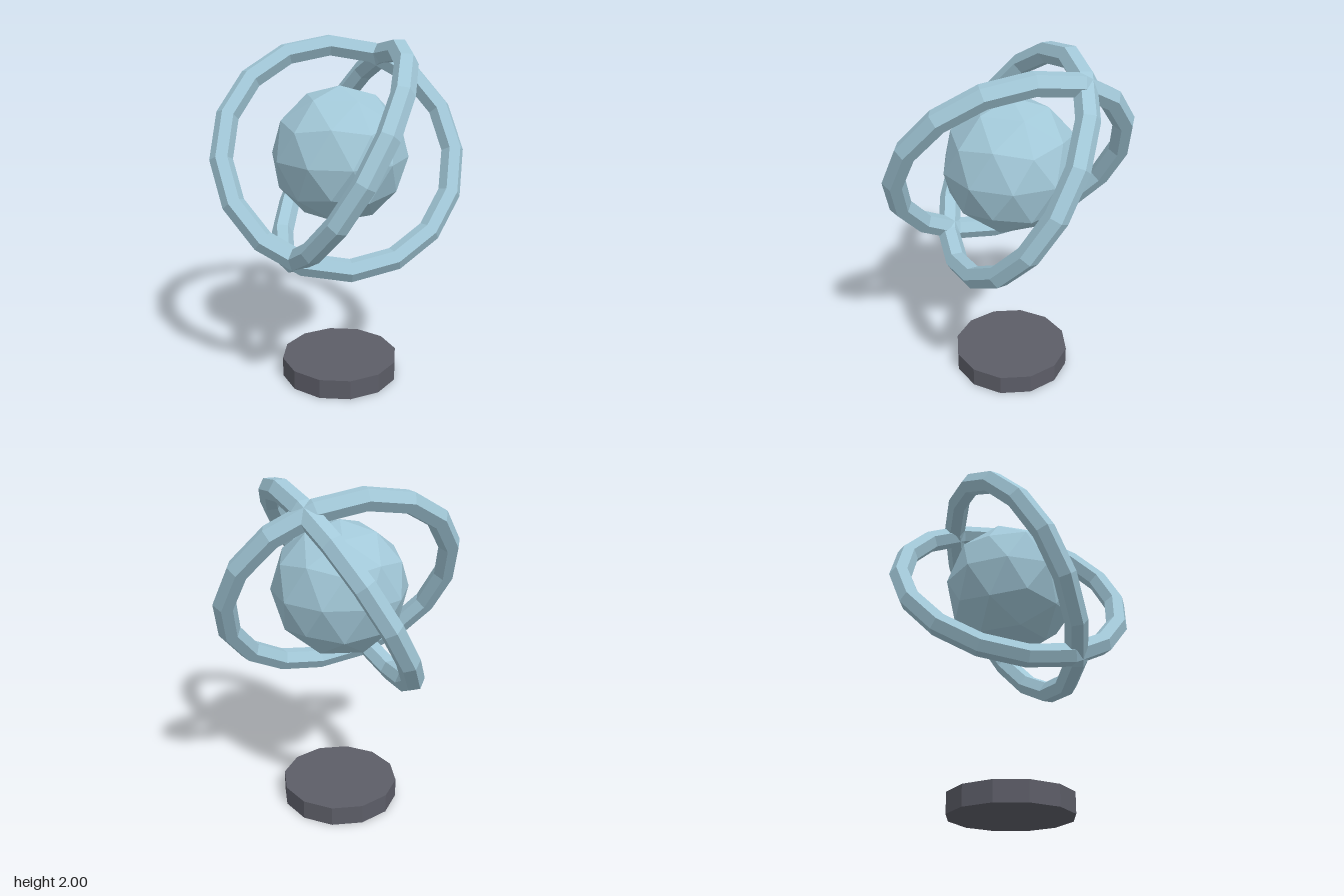
import * as THREE from 'three';

const CENTER_Y = 1.37;
const TILT = Math.PI / 6;

// Faceted ball: an icosahedron standing on its pole, subdivided once
function poleIcosphere(radius) {
  const verts = [0, 1, 0, 0, -1, 0];
  const faces = [];
  const h = 1 / Math.sqrt(5), r = 2 / Math.sqrt(5);
  for (let i = 0; i < 5; i++) {
    const a = (i * 2 * Math.PI) / 5, b = a + Math.PI / 5;
    verts.push(r * Math.cos(a), h, -r * Math.sin(a)); // upper ring
    verts.push(r * Math.cos(b), -h, -r * Math.sin(b)); // lower ring
    const j = (i + 1) % 5;
    const u0 = 2 + 2 * i, l0 = u0 + 1, u1 = 2 + 2 * j, l1 = u1 + 1;
    faces.push(0, u0, u1, l0, u1, u0, l0, l1, u1, 1, l1, l0);
  }
  return new THREE.PolyhedronGeometry(verts, faces, radius, 1);
}

export function createModel() {
  const group = new THREE.Group();
  const paleBlue = new THREE.MeshStandardMaterial({ name: 'paleBlue', color: 0xa2c8d8, flatShading: true });
  const darkGrey = new THREE.MeshStandardMaterial({ name: 'darkGrey', color: 0x5c5d67, flatShading: true });

  const add = (name, geometry, material, y) => {
    const mesh = new THREE.Mesh(geometry, material);
    mesh.name = name;
    mesh.position.y = y;
    group.add(mesh);
    return mesh;
  };

  // Floating core
  add('core', poleIcosphere(0.39), paleBlue, CENTER_Y);

  // Two crossing hexagonal-section rings, one leaning back, one leaning left
  const ring = new THREE.TorusGeometry(0.665, 0.065, 6, 16);
  add('ringLeaningBack', ring, paleBlue, CENTER_Y).rotation.x = -TILT;
  add('ringLeaningLeft', ring, paleBlue, CENTER_Y).rotation.set(0, Math.PI / 2, -TILT, 'ZYX');

  // Twelve-sided base disc
  add('base', new THREE.CylinderGeometry(0.35, 0.35, 0.117, 12), darkGrey, 0.0585);

  return group;
}
